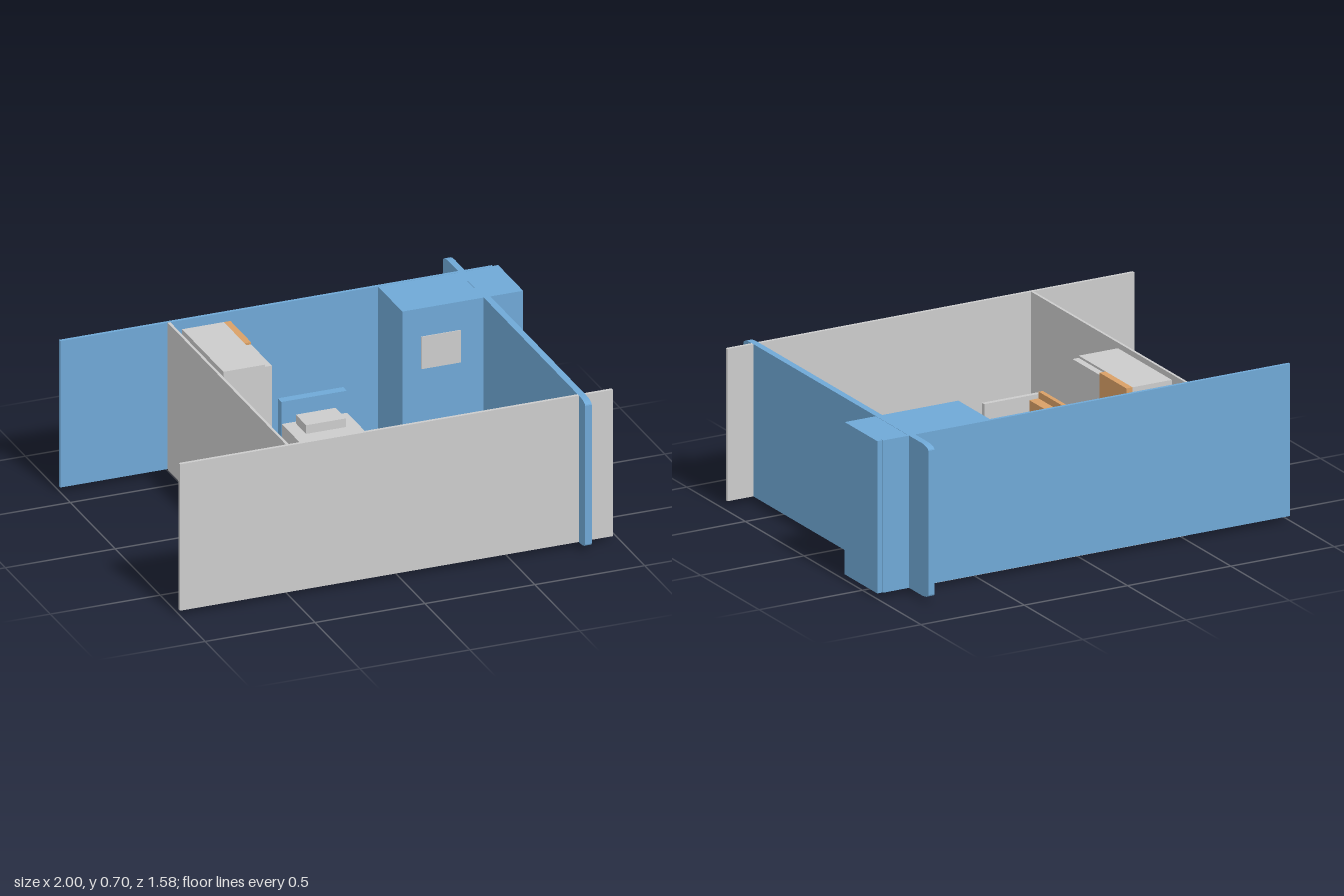
import * as THREE from 'three';

const mat = (color) => new THREE.MeshStandardMaterial({ color, side: THREE.DoubleSide });
const GREY = mat(0xcccccc), BLUE = mat(0x6fa8d6), ORANGE = mat(0xd9a066);

// Box given by its lower and upper limits on each axis
function block(parent, name, m, [x0, x1], [y0, y1], [z0, z1]) {
  const mesh = new THREE.Mesh(new THREE.BoxGeometry(x1 - x0, y1 - y0, z1 - z0), m);
  mesh.position.set((x0 + x1) / 2, (y0 + y1) / 2, (z0 + z1) / 2);
  mesh.name = name;
  parent.add(mesh);
  return mesh;
}

function group(parent, name) {
  const g = new THREE.Group();
  g.name = name;
  parent.add(g);
  return g;
}

// Long wall whose four corners are flattened ellipses
function roundedWall(parent) {
  const w = 0.79, y0 = 0.022, y1 = 0.702, rx = 0.06, ry = 0.018;
  const s = new THREE.Shape();
  const corners = [[1, 1, 0], [-1, 1, 1], [-1, 0, 2], [1, 0, 3]];
  for (const [side, top, q] of corners) {
    const cx = side * (w - rx), cy = top ? y1 - ry : y0 + ry;
    for (let i = 0; i <= 6; i++) {
      const a = (q + i / 6) * Math.PI / 2;
      const px = cx + rx * Math.cos(a), py = cy + ry * Math.sin(a);
      if (q === 0 && i === 0) s.moveTo(px, py); else s.lineTo(px, py);
    }
  }
  const geo = new THREE.ExtrudeGeometry(s, { depth: 0.03, bevelEnabled: false });
  geo.rotateY(Math.PI / 2);
  const mesh = new THREE.Mesh(geo, BLUE);
  mesh.position.x = 0.815;
  mesh.name = 'leftWall';
  parent.add(mesh);
}

export function createModel() {
  const room = new THREE.Group();
  room.name = 'room';
  const H = [0.022, 0.702];

  // Floor and walls
  block(room, 'floor', GREY, [-0.51, 0.82], [0.016, 0.025], [-0.612, 0.7]);
  block(room, 'frontWall', GREY, [-1, 0.97], H, [0.705, 0.72]);
  block(room, 'backWall', BLUE, [-1, 0.97], H, [-0.625, -0.61]);
  block(room, 'rightWall', GREY, [-0.512, -0.5], H, [-0.61, 0.705]);
  roundedWall(room);

  // Corner column with a wall panel
  block(room, 'cornerColumn', BLUE, [0.445, 0.995], [0.021, 0.701], [-0.618, -0.34]);
  block(room, 'wallPanel', GREY, [0.53, 0.71], [0.42, 0.57], [-0.342, -0.336]);

  // Round rug and flat mat
  const rug = new THREE.Mesh(new THREE.CylinderGeometry(0.255, 0.255, 0.028, 64), ORANGE);
  rug.position.set(0.443, 0.014, 0.183);
  rug.name = 'roundRug';
  room.add(rug);
  block(room, 'floorMat', BLUE, [0.01, 0.42], [0.025, 0.035], [0.29, 0.61]);

  // Wardrobe with an open shelf side and doors
  const wardrobe = group(room, 'wardrobe');
  block(wardrobe, 'wardrobeBody', GREY, [-0.475, -0.285], [0.018, 0.695], [-0.54, -0.08]);
  block(wardrobe, 'tallDoor', ORANGE, [-0.285, -0.255], [0.014, 0.695], [-0.54, -0.31]);
  block(wardrobe, 'upperDoor', GREY, [-0.285, -0.255], [0.28, 0.685], [-0.31, -0.08]);
  block(wardrobe, 'lowerDoor', BLUE, [-0.285, -0.257], [0.02, 0.28], [-0.31, -0.08]);

  // Bed with two end boards
  const bed = group(room, 'bed');
  block(bed, 'mattress', GREY, [-0.025, 0.272], [0.06, 0.18], [-0.53, -0.075]);
  block(bed, 'pillow', GREY, [0.032, 0.213], [0.18, 0.22], [-0.515, -0.4]);
  block(bed, 'headboard', BLUE, [-0.025, 0.272], [0.005, 0.28], [-0.575, -0.535]);
  block(bed, 'footboard', BLUE, [-0.025, 0.272], [0.005, 0.2], [-0.075, -0.03]);

  // Sofa with a stepped back between two thin arms
  const sofa = group(room, 'sofa');
  block(sofa, 'sofaSeat', ORANGE, [-0.42, -0.202], [0.03, 0.15], [-0.02, 0.58]);
  block(sofa, 'sofaBack', ORANGE, [-0.485, -0.465], [0.03, 0.3], [-0.02, 0.58]);
  block(sofa, 'sofaCushion', ORANGE, [-0.465, -0.42], [0.03, 0.27], [-0.02, 0.58]);
  for (const z of [-0.04, 0.58])
    block(sofa, 'sofaArm', GREY, [-0.487, -0.202], [0.008, 0.29], [z, z + 0.02]);

  // Small side table beside the sofa
  block(room, 'sideTable', BLUE, [-0.16, -0.055], [0.025, 0.11], [0.485, 0.65]);
  return room;
}
